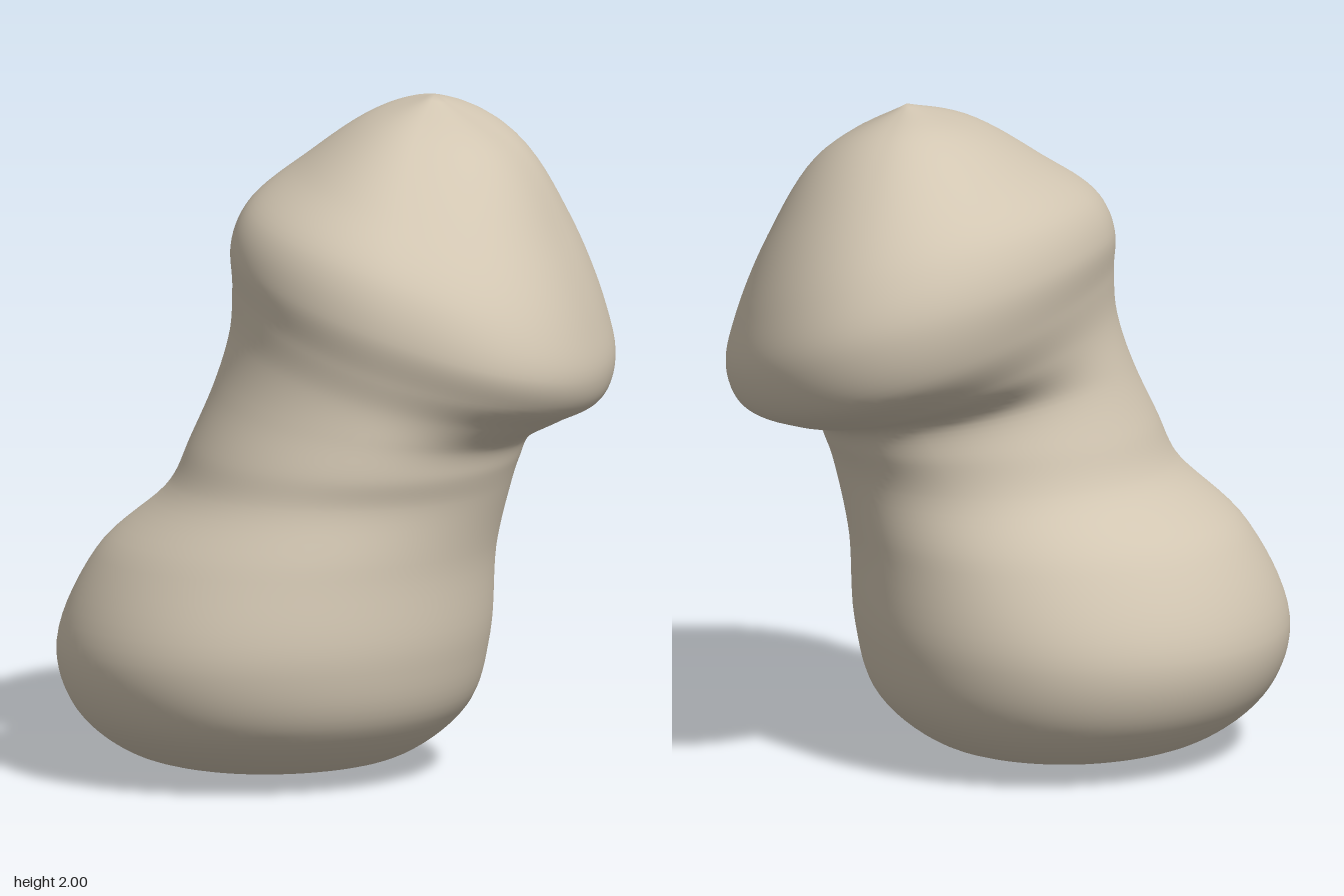
import * as THREE from 'three';

// Outline points of each section, bottom to top:
// left x,y | right x,y | front z,y | back z,y
const FOOT = [
  [-0.2, 0, -0.2, 0, 0.13, 0, 0.13, 0],
  [-0.42, 0.02, 0.06, 0.02, 0.38, 0.015, -0.12, 0.015],
  [-0.62, 0.07, 0.24, 0.06, 0.64, 0.07, -0.4, 0.07],
  [-0.77, 0.2, 0.41, 0.2, 0.81, 0.2, -0.55, 0.2],
  [-0.82, 0.38, 0.47, 0.4, 0.86, 0.4, -0.6, 0.4],
  [-0.7, 0.66, 0.49, 0.67, 0.785, 0.67, -0.53, 0.67],
];
const STEM = [
  [-0.485, 0.86, 0.535, 0.86, 0.705, 0.86, -0.447, 0.86],
  [-0.42, 1.0, 0.56, 0.94, 0.695, 0.96, -0.437, 0.97],
  [-0.35, 1.17, 0.59, 1.01, 0.67, 1.07, -0.45, 1.08],
];
const CAP = [
  [-0.31, 1.32, 0.69, 1.06, 0.655, 1.17, -0.65, 1.14],
  [-0.307, 1.45, 0.79, 1.11, 0.665, 1.26, -0.81, 1.23],
  [-0.315, 1.58, 0.82, 1.2, 0.68, 1.38, -0.86, 1.4],
  [-0.27, 1.69, 0.79, 1.34, 0.63, 1.54, -0.8, 1.58],
  [-0.12, 1.81, 0.69, 1.58, 0.46, 1.71, -0.63, 1.78],
  [0.06, 1.93, 0.53, 1.84, 0.18, 1.9, -0.4, 1.94],
  [0.27, 2, 0.27, 2, -0.13, 2, -0.13, 2],
];

// Smooth curve through one side of all the sections
const rail = (k) => new THREE.CatmullRomCurve3(
  [...FOOT, ...STEM, ...CAP].map((s) => new THREE.Vector3(s[k], s[k + 1], 0)));

// Loft through the sections; each ring is four joined quarter ovals
function loft(rows, sides) {
  const { smoothstep } = THREE.MathUtils;
  const rails = [0, 2, 4, 6].map(rail);
  const positions = [];
  const index = [];
  for (let i = 0; i <= rows; i++) {
    const [l, r, f, b] = rails.map((curve) => curve.getPoint(i / rows));
    const mean = (l.y + r.y + f.y + b.y) / 4;
    const saddle = (l.y + r.y - f.y - b.y) / 4;
    // the middle leans left and back as it rises
    const cx = -0.2 + 0.47 * smoothstep(mean, 0.3, 1.45);
    const cz = 0.13 - 0.13 * (smoothstep(mean, 0.9, 1.4) + smoothstep(mean, 1.4, 2));
    const corner = 0.07 * smoothstep(mean, 1.0, 1.4);
    for (let j = 0; j < sides; j++) {
      const a = (j / sides) * Math.PI * 2;
      const cos = Math.cos(a);
      const sin = Math.sin(a);
      // the cap is a little squarer at its front left corner
      const bulge = cos > 0 && sin > 0 ? 1 + corner * Math.sin(2 * a) ** 2 : 1;
      positions.push(
        cx + bulge * cos * (cos > 0 ? r.x - cx : cx - l.x),
        mean + (cos * (r.y - l.y) + sin * (f.y - b.y)) / 2 + saddle * Math.cos(2 * a),
        cz + bulge * sin * (sin > 0 ? f.x - cz : cz - b.x));
      if (i === rows) continue;
      const p = i * sides + j;
      const q = i * sides + (j + 1) % sides;
      if (i < rows - 1) index.push(p, p + sides, q + sides);
      if (i > 0) index.push(p, q + sides, q);
    }
  }
  const geometry = new THREE.BufferGeometry();
  geometry.setAttribute('position', new THREE.Float32BufferAttribute(positions, 3));
  geometry.setIndex(index);
  geometry.computeVertexNormals();
  // one shared normal at each pole
  const normals = geometry.attributes.normal;
  for (let j = 0; j < sides; j++) {
    normals.setXYZ(j, 0, -1, 0);
    normals.setXYZ(rows * sides + j, 0, 1, 0);
  }
  return geometry;
}

export function createModel() {
  const model = new THREE.Group();
  model.name = 'leaningMushroomForm';
  const clay = new THREE.MeshStandardMaterial({ color: 0xd2c6b2 });
  clay.name = 'beige clay';

  // Foot, stem and cap flow together as one smooth skin
  const body = new THREE.Mesh(loft(112, 96), clay);
  body.name = 'footStemAndCap';
  model.add(body);
  return model;
}
